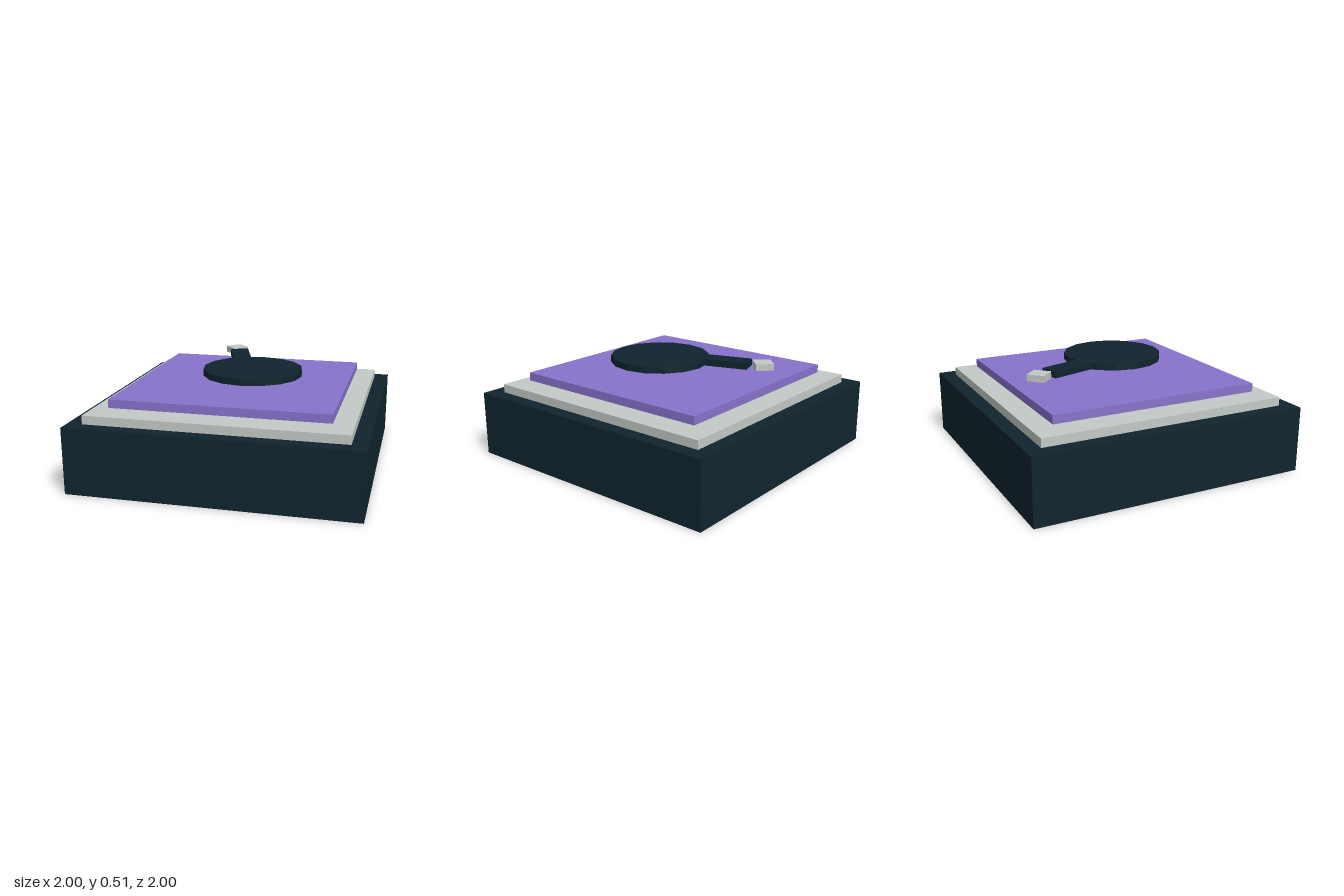
import * as THREE from 'three';

export function createModel() {
  const model = new THREE.Group();
  const material = (name, color) => {
    const m = new THREE.MeshStandardMaterial({ color });
    m.name = name;
    return m;
  };
  const dark = material('dark navy', 0x10242e);
  const grey = material('pale grey', 0xc3cac5);
  const purple = material('purple', 0x8873cc);

  const add = (name, geometry, mat, x, y, z, turn = 0) => {
    const mesh = new THREE.Mesh(geometry, mat);
    mesh.name = name;
    mesh.position.set(x, y, z);
    mesh.rotation.y = turn;
    model.add(mesh);
  };

  // Square slab standing corner to the front, given its half diagonal
  const slab = (name, mat, halfDiagonal, bottom, top) => {
    const side = halfDiagonal * Math.SQRT2;
    add(name, new THREE.BoxGeometry(side, top - bottom, side), mat, 0, (bottom + top) / 2, 0, Math.PI / 4);
  };

  // Stacked slabs, with the panel hovering above the trim
  slab('base', dark, 1, 0, 0.331);
  slab('trim', grey, 0.895, 0.331, 0.374);
  slab('panel', purple, 0.76, 0.391, 0.433);

  // Hovering disc with an arm and a small tip block
  const y = 0.497, thickness = 0.034;
  const disc = new THREE.CylinderGeometry(0.254, 0.254, thickness, 16).toNonIndexed();
  disc.computeVertexNormals();
  add('disc', disc, dark, 0, y, 0.086);

  const turn = -0.48, length = 0.34;
  add('arm', new THREE.BoxGeometry(0.098, thickness, length), dark,
    0.182 + Math.sin(turn) * length / 2, y, -0.35 + Math.cos(turn) * length / 2, turn);
  add('tip', new THREE.BoxGeometry(0.09, thickness, 0.09), grey, 0.207, y, -0.416);

  return model;
}
